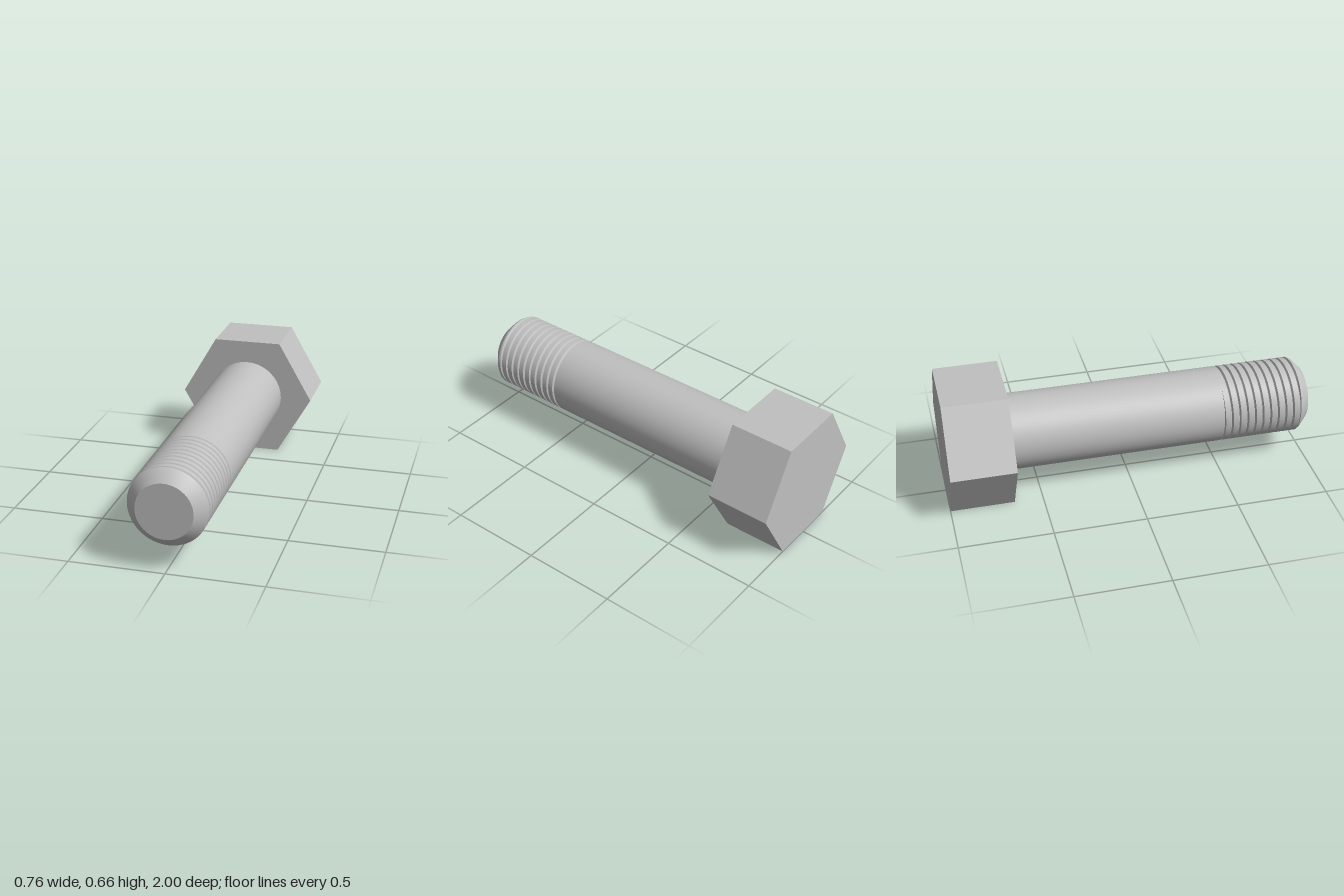
import * as THREE from 'three';
import { toCreasedNormals } from 'three/addons/utils/BufferGeometryUtils.js';

const R = 0.205;          // shank radius
const AXIS_Y = 0.33;      // height of the bolt axis
const HEAD_R = 0.381;     // corner radius of the hexagon
const HEAD_BACK = -1, HEAD_FRONT = -0.655;
const THREAD_START = 0.505, THREAD_END = 0.94;
const SEGMENTS = 64;

// Cylinder lying along z between two positions
function rod(radius, z0, z1, sides, open) {
  return new THREE.CylinderGeometry(radius, radius, z1 - z0, sides, 1, open)
    .rotateX(Math.PI / 2)
    .translate(0, 0, (z0 + z1) / 2);
}

// Helical V groove: a crest-groove profile advancing one pitch per turn
function threadGeometry() {
  const pitch = 0.0435, depth = 0.012;
  const profile = [[0, R], [0.34, R], [0.5, R - depth], [0.66, R]];
  const turns = Math.ceil((THREAD_END - THREAD_START) / pitch) + 1;
  const rows = [];
  for (let k = -2; k <= turns; k++) {
    for (const [u, r] of profile) rows.push([(k + u) * pitch, r]);
  }
  const positions = [], index = [], n = rows.length;
  for (let i = 0; i <= SEGMENTS; i++) {
    const turn = i / SEGMENTS, a = turn * Math.PI * 2;
    rows.forEach(([z, r], j) => {
      const zz = THREE.MathUtils.clamp(THREAD_START + z + turn * pitch, THREAD_START, THREAD_END);
      positions.push(r * Math.cos(a), r * Math.sin(a), zz);
      if (i < SEGMENTS && j < n - 1) {
        const p = i * n + j, q = p + n;
        index.push(p, q, q + 1, p, q + 1, p + 1);
      }
    });
  }
  const geometry = new THREE.BufferGeometry();
  geometry.setAttribute('position', new THREE.Float32BufferAttribute(positions, 3));
  geometry.setIndex(index);
  return geometry;
}

export function createModel() {
  const bolt = new THREE.Group();
  bolt.name = 'hexBolt';
  const steel = new THREE.MeshStandardMaterial({ color: 0xc0c0c0 });
  steel.name = 'steel';

  const add = (name, geometry) => {
    const mesh = new THREE.Mesh(toCreasedNormals(geometry, 0.4), steel);
    mesh.name = name;
    mesh.position.y = AXIS_Y;
    bolt.add(mesh);
  };

  // Hexagonal head with corners to the left and right
  add('head', rod(HEAD_R, HEAD_BACK, HEAD_FRONT, 6, false).rotateZ(Math.PI / 2));

  // Plain shank and threaded section
  add('shank', rod(R, HEAD_FRONT, THREAD_START, SEGMENTS, true));
  add('thread', threadGeometry());

  // Chamfered tip
  const tip = [[R, THREAD_END], [0.195, 0.955], [0.147, 1], [0, 1]]
    .map(([r, z]) => new THREE.Vector2(r, z));
  add('tip', new THREE.LatheGeometry(tip, SEGMENTS).rotateX(Math.PI / 2));

  return bolt;
}
